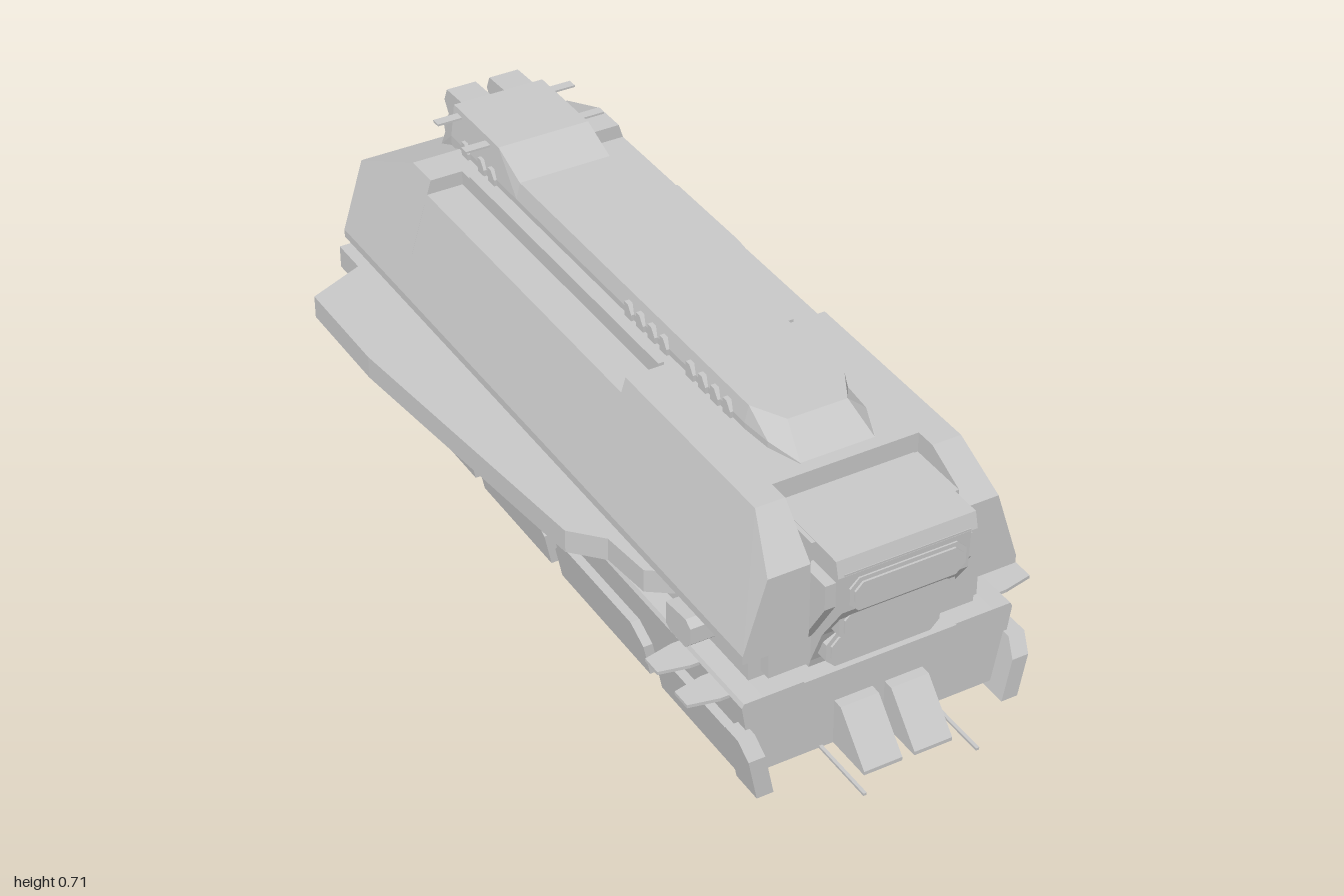
import * as THREE from 'three';

const hullGrey = new THREE.MeshStandardMaterial({ color: 0xc8c8c8, side: THREE.DoubleSide, flatShading: true });
hullGrey.name = 'hull grey';

function add(parent, name, geometry) {
  const m = new THREE.Mesh(geometry, hullGrey);
  m.name = name;
  parent.add(m);
  return m;
}

function box(x0, x1, y0, y1, z0, z1) {
  return new THREE.BoxGeometry(x1 - x0, y1 - y0, z1 - z0)
    .translate((x0 + x1) / 2, (y0 + y1) / 2, (z0 + z1) / 2);
}

// Skin through open cross-sections: each is { z, pts: [[x, y], ...] }, z increasing
function loft(sections) {
  const pos = [];
  const put = (s, p) => pos.push(p[0], p[1], s.z);
  for (let i = 0; i < sections.length - 1; i++) {
    const a = sections[i], b = sections[i + 1];
    for (let j = 0; j < a.pts.length - 1; j++) {
      put(a, a.pts[j]); put(a, a.pts[j + 1]); put(b, b.pts[j + 1]);
      put(a, a.pts[j]); put(b, b.pts[j + 1]); put(b, b.pts[j]);
    }
  }
  const g = new THREE.BufferGeometry();
  g.setAttribute('position', new THREE.Float32BufferAttribute(pos, 3));
  g.computeVertexNormals();
  return g;
}

const mirrored = (half) => half.concat(half.map(([x, y]) => [-x, y]).reverse());
const shape = (pts) => new THREE.Shape(pts.map(([a, b]) => new THREE.Vector2(a, b)));
const extrude = (pts, depth) => new THREE.ExtrudeGeometry(shape(pts), { depth, bevelEnabled: false });

// Outline in (z, y) spread from x0 to x1
const prism = (pts, x0, x1) => extrude(pts, x1 - x0).rotateY(-Math.PI / 2).translate(x1, 0, 0);
// Outline in (x, z) spread from y0 to y1
const slab = (pts, y0, y1) => extrude(pts, y1 - y0).rotateX(Math.PI / 2).translate(0, y1, 0);

// Lean a part inwards towards the ground
function lean(g) {
  const p = g.attributes.position;
  for (let i = 0; i < p.count; i++) p.setX(i, p.getX(i) + (p.getY(i) - 0.145) * 0.2);
  g.computeVertexNormals();
  return g;
}

// Rectangle with cut corners, in (x, y)
const octagon = (w, y0, y1, c) => [[-w + c, y0], [w - c, y0], [w, y0 + c], [w, y1 - c],
  [w - c, y1], [-w + c, y1], [-w, y1 - c], [-w, y0 + c]];

// Everything that repeats on both sides, modelled on +x
function buildSide() {
  const side = new THREE.Group();

  add(side, 'waistWall', loft([-1, 0.77].map((z) => ({ z, pts: [[0.28, 0.22], [0.28, 0.325]] }))));
  add(side, 'chassisWall', loft([-1, 0.83].map((z) => ({
    z, pts: [[0.3, 0.025], [0.33, 0.21], [0.325, 0.22], [0.28, 0.222]],
  }))));
  add(side, 'hullFrontFace', extrude([[0.175, 0.325], [0.33, 0.325], [0.33, 0.345], [0.275, 0.52], [0.175, 0.52]], 0.005)
    .translate(0, 0, 0.825));

  // Side skirt panels with cut upper corners
  for (const [z0, z1] of [[-1, -0.79], [-0.74, -0.355], [-0.31, 0.01], [0.06, 0.45], [0.5, 0.83]]) {
    const c0 = z0 === -1 ? 0 : 0.04, c1 = z1 === 0.83 ? 0 : 0.04;
    add(side, 'skirtPanel', lean(prism([[z0, 0.025], [z1, 0.025], [z1, 0.105], [z1 - c1, 0.147],
      [z0 + c0, 0.147], [z0, 0.105]], 0.328, 0.35)));
  }
  add(side, 'bumperCorner', lean(prism([[0.8, 0.005], [0.88, 0.005], [0.88, 0.11], [0.85, 0.15], [0.8, 0.15]], 0.31, 0.35)));

  // Wide running board along the waist
  add(side, 'sideFin', slab([[0.28, -1], [0.345, -1], [0.345, -0.9], [0.489, -0.835], [0.489, -0.55],
    [0.412, 0.24], [0.347, 0.31], [0.335, 0.44], [0.28, 0.48]], 0.245, 0.302));
  add(side, 'waistPod', prism([[0.55, 0.245], [0.57, 0.235], [0.63, 0.235], [0.65, 0.255], [0.65, 0.295],
    [0.63, 0.308], [0.55, 0.3]], 0.27, 0.345));
  add(side, 'frontBlock', box(0.15, 0.25, 0.235, 0.313, 0.7, 0.8));

  // Thin winglets on the lower deck
  for (const z of [0.62, 0.74]) {
    add(side, 'winglet', slab([[0.3, z - 0.04], [0.35, z - 0.04], [0.42, z - 0.025], [0.42, z + 0.025],
      [0.35, z + 0.04], [0.3, z + 0.04]], 0.203, 0.211));
  }

  // Ribs and pins beside the roof spine
  for (const z of [-0.74, -0.66, -0.61, 0.02, 0.07, 0.12, 0.17, 0.28, 0.33, 0.38, 0.43]) {
    add(side, 'spineRib', prism([[z - 0.015, 0.615], [z + 0.015, 0.615], [z + 0.015, 0.635], [z, 0.655], [z - 0.015, 0.655]], 0.105, 0.132));
  }
  for (const z of [-0.79, -0.65]) add(side, 'roofPin', box(0.1, 0.178, 0.697, 0.702, z - 0.012, z + 0.012));
  add(side, 'roofRail', box(0.152, 0.166, 0.61, 0.627, -0.65, 0.21));

  // Rear exhaust, front wedge and feeler
  add(side, 'exhaust', prism([[-0.8, 0.712], [-0.9, 0.708], [-0.915, 0.675], [-0.895, 0.645], [-0.925, 0.61],
    [-0.915, 0.572], [-0.87, 0.572]], 0.018, 0.093));
  add(side, 'bumperWedge', prism([[0.82, 0.026], [0.95, 0.026], [0.95, 0.035], [0.855, 0.138], [0.82, 0.138]], 0.015, 0.108));
  add(side, 'feeler', box(0.134, 0.142, 0.024, 0.03, 0.8, 1));

  // Dark cheek of the grille
  add(side, 'grilleCheek', prism([[0.75, 0.24], [0.77, 0.26], [0.82, 0.335], [0.885, 0.44], [0.885, 0.5], [0.8, 0.5]], 0.145, 0.175));
  return side;
}

export function createModel() {
  const model = new THREE.Group();
  model.name = 'armouredTransport';

  // Upper hull: z, centre height, inner edge, outer roof height
  const hull = [
    [-1, 0.52, 0.165, 0.52], [-0.78, 0.62, 0.165, 0.62], [-0.69, 0.62, 0.165, 0.62],
    [-0.69, 0.62, 0.165, 0.585], [0.21, 0.62, 0.165, 0.585], [0.21, 0.62, 0.165, 0.62],
    [0.68, 0.62, 0.175, 0.62], [0.68, 0.572, 0.175, 0.62], [0.73, 0.572, 0.175, 0.62], [0.83, 0.572, 0.175, 0.52],
  ].map(([z, yc, xi, yt]) => ({
    z,
    pts: mirrored([[0.28, 0.325], [0.33, 0.325], [0.33, 0.345], [0.245 + (0.62 - yt) * 0.3, yt], [xi, yt], [xi, yc]]),
  }));
  add(model, 'upperHull', loft(hull));

  // Roof spine with raised rear: z, base half width, top half width, top height
  const spine = [
    [-0.895, 0.115, 0.115, 0.572], [-0.82, 0.125, 0.115, 0.715], [-0.6, 0.125, 0.115, 0.715], [-0.5, 0.125, 0.115, 0.675],
    [0.49, 0.125, 0.115, 0.675], [0.57, 0.118, 0.072, 0.675], [0.65, 0.09, 0.088, 0.622],
  ].map(([z, wb, wt, y]) => ({ z, pts: mirrored([[wb, Math.min(0.61, y)], [wb, Math.min(0.635, y)], [wt, y]]) }));
  add(model, 'roofSpine', loft(spine));

  // Nose and grille, leaning back towards the bottom
  add(model, 'noseLip', prism([[0.68, 0.535], [0.915, 0.535], [0.905, 0.572], [0.68, 0.574]], -0.165, 0.165));
  add(model, 'noseCore', prism([[0.7, 0.2], [0.79, 0.2], [0.8, 0.24], [0.84, 0.335], [0.91, 0.44], [0.915, 0.54], [0.7, 0.54]], -0.15, 0.15));
  const panels = [[0.44, 0.522, 0.918], [0.337, 0.425, 0.885], [0.24, 0.325, 0.84]];
  for (const [y0, y1, z] of panels) {
    add(model, 'grillePanel', extrude(octagon(0.138, y0, y1, 0.022), 0.07).translate(0, 0, z - 0.07));
    add(model, 'grillePanelFace', extrude(octagon(0.128, y0 + 0.01, y1 - 0.01, 0.018), 0.005).translate(0, 0, z));
  }
  add(model, 'grilleFoot', extrude([[-0.15, 0.175], [0.15, 0.175], [0.185, 0.222], [-0.185, 0.222]], 0.006).translate(0, 0, 0.83));

  // Lower chassis: front plate, deck and rear crossbar
  add(model, 'chassisFront', extrude([[-0.3, 0.025], [0.3, 0.025], [0.33, 0.21], [0.325, 0.22], [-0.325, 0.22], [-0.33, 0.21]], 0.01)
    .translate(0, 0, 0.82));
  add(model, 'chassisDeck', box(-0.32, 0.32, 0.205, 0.22, 0.25, 0.825));
  add(model, 'deckCrossbar', box(-0.28, 0.28, 0.18, 0.22, 0.25, 0.28));
  add(model, 'waistFront', box(-0.28, 0.28, 0.22, 0.325, 0.755, 0.77));

  const left = buildSide();
  left.name = 'leftSide';
  const right = buildSide();
  right.name = 'rightSide';
  right.scale.x = -1;
  model.add(left, right);
  return model;
}
